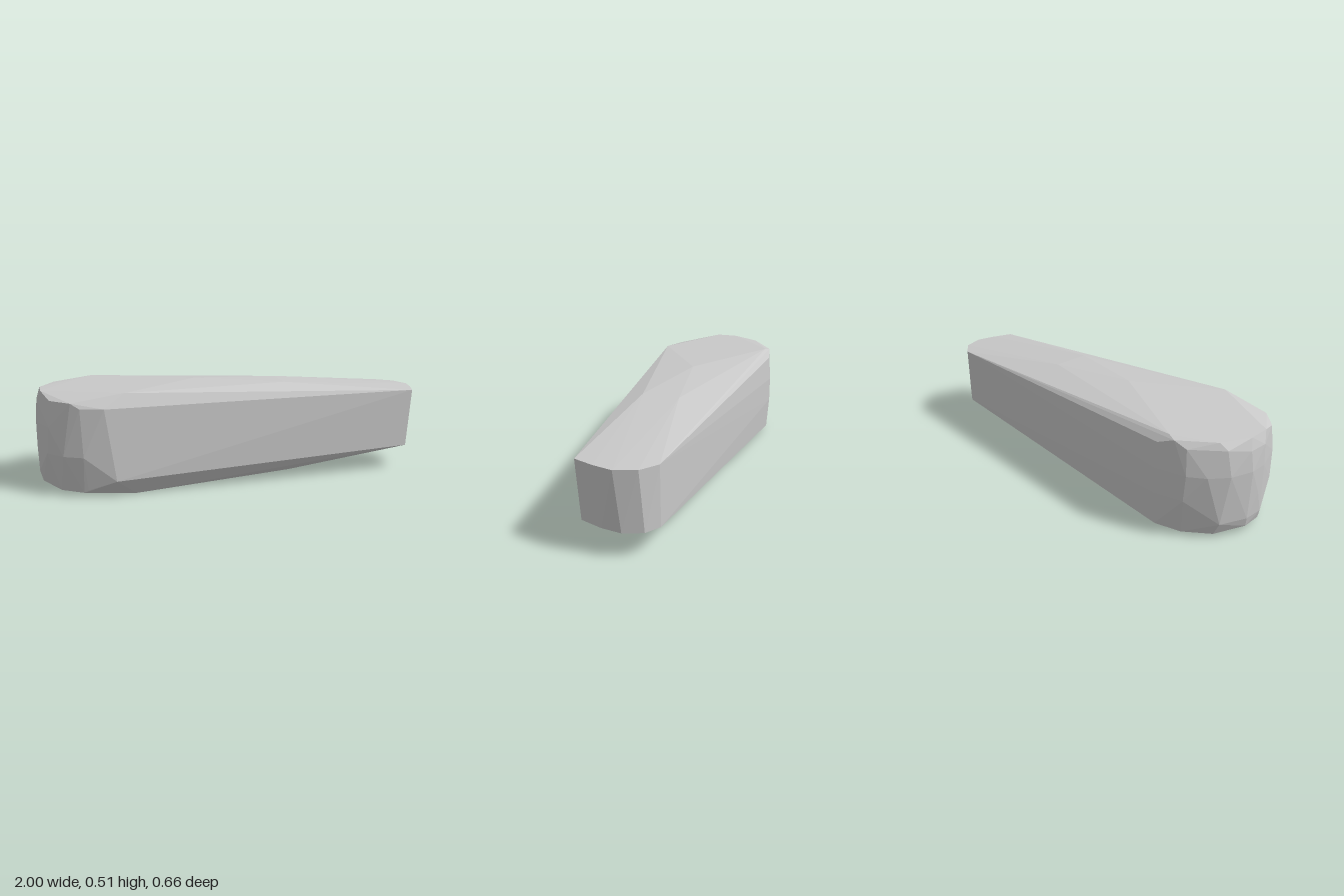
import * as THREE from 'three';
import { ConvexGeometry } from 'three/addons/geometries/ConvexGeometry.js';

export function createModel() {
  const group = new THREE.Group();
  const grey = new THREE.MeshStandardMaterial({ color: 0xc9c9c9, flatShading: true });
  grey.name = 'light stone grey';

  const points = [];
  const ring = (y, xz) => xz.forEach(([x, z]) => points.push(new THREE.Vector3(x, y, z)));

  // narrow end: curved, nearly upright face
  ring(0.428, [[0.935, 0.22], [0.975, 0.12], [1, 0.025], [0.97, -0.08], [0.89, -0.147]]);
  ring(0.127, [[0.915, 0.21], [0.96, 0.1], [0.98, 0], [0.95, -0.095], [0.88, -0.145]]);

  // wide rounded end, ring by ring from the bottom up
  ring(0, [[-0.55, 0.27], [-0.58, -0.265], [-0.72, -0.2], [-0.72, 0.2]]);
  ring(0.02, [[-0.8, 0.265], [-0.9, 0.19], [-0.95, 0.06], [-0.95, -0.06], [-0.9, -0.19], [-0.78, -0.275]]);
  ring(0.033, [[-0.66, -0.318], [-0.78, 0.275], [-0.98, 0.05], [-0.98, -0.05]]);
  ring(0.082, [[-0.65, 0.33], [-0.995, 0.04], [-0.99, -0.06], [-0.93, -0.19]]);
  ring(0.2, [[-0.66, -0.33], [-0.8, -0.3], [-0.8, 0.3], [-0.89, 0.25], [-0.96, 0.16], [-1, 0]]);
  ring(0.33, [[-0.66, -0.33], [-0.81, -0.3], [-0.89, -0.25], [-0.96, -0.17], [-1, -0.06], [-1, 0.03], [-0.95, 0.18]]);
  ring(0.433, [[-0.7, 0.325], [-0.81, 0.292], [-0.995, 0.03], [-0.99, -0.07]]);
  ring(0.457, [[-0.66, -0.32], [-0.8, -0.29], [-0.85, 0.265], [-0.94, 0.17], [-0.94, -0.18]]);
  ring(0.488, [[-0.975, 0.06], [-0.975, -0.05], [-0.9, -0.19], [-0.74, -0.305]]);

  // gentle crown on top and keel below
  ring(0.498, [[-0.6, 0.282], [-0.7, -0.288]]);
  ring(0.512, [[-0.2, 0.015]]);
  ring(0.492, [[0.24, 0.15], [0.25, -0.04]]);
  ring(0.029, [[0.25, 0.11], [0.25, -0.04]]);
  ring(0.042, [[0.25, 0.21]]);

  const body = new THREE.Mesh(new ConvexGeometry(points), grey);
  body.name = 'taperedBody';
  group.add(body);
  return group;
}
